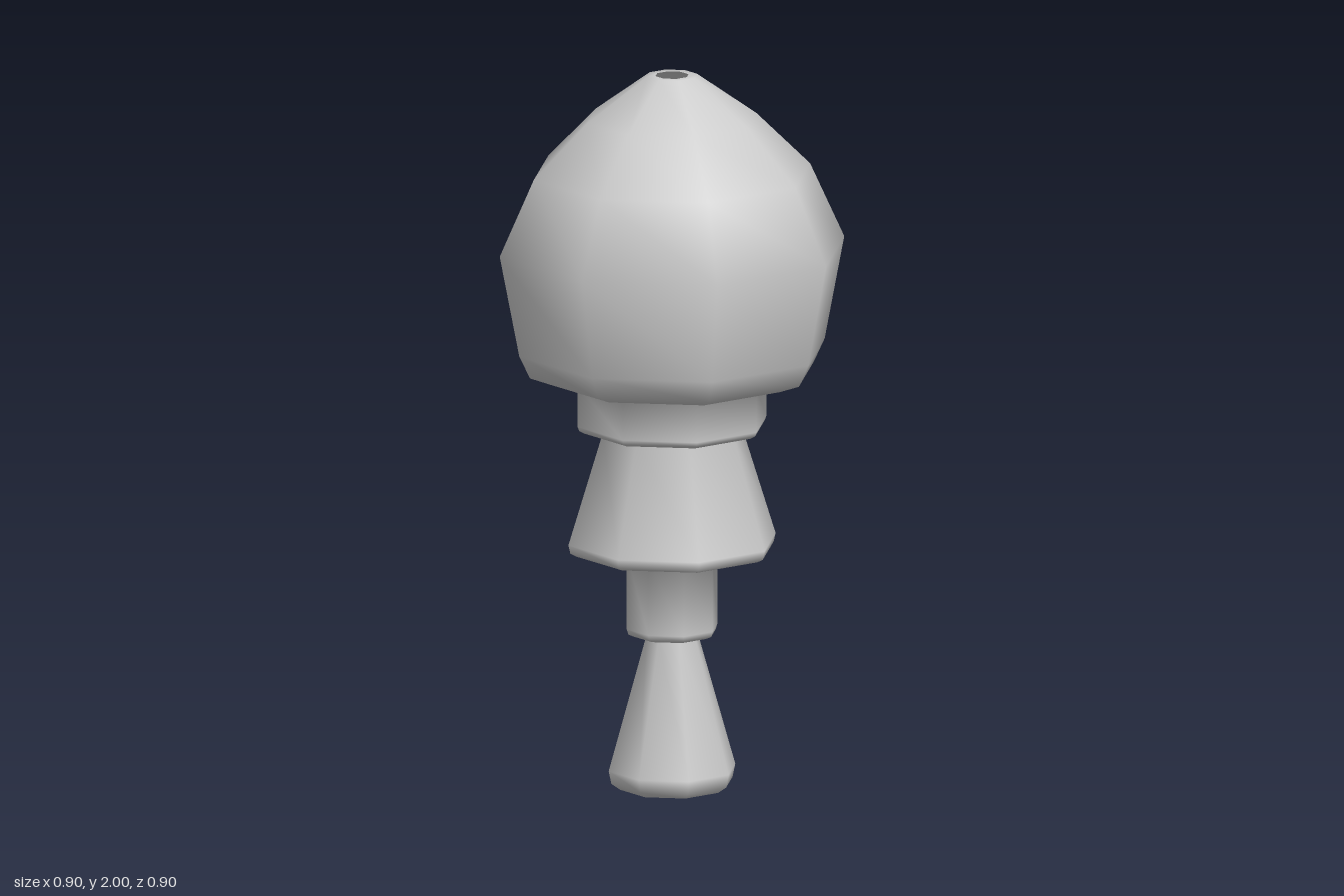
import * as THREE from 'three';

const SIDES = 8;

// Profile sections from bottom to top: [distance from axis to flat side, height]
const foot = [[0.11, 0], [0.135, 0.006], [0.158, 0.024], [0.165, 0.06], [0.067, 0.433]];
const stem = [[0.1, 0.433], [0.114, 0.44], [0.118, 0.455], [0.118, 0.667]];
const skirt = [[0.25, 0.667], [0.265, 0.676], [0.27, 0.7], [0.18, 1.01]];
const collar = [[0.228, 1.01], [0.242, 1.018], [0.246, 1.03], [0.246, 1.152]];
const bulb = [
  [0.315, 1.152], [0.37, 1.174], [0.398, 1.237], [0.449, 1.52],
  [0.36, 1.73], [0.22, 1.88], [0.065, 2], [0.043, 2],
];

export function createModel() {
  const group = new THREE.Group();
  group.name = 'turnedFinial';

  // One continuous hollow octagonal turning, open at both ends, flats facing the axes
  const toCorner = 1 / Math.cos(Math.PI / SIDES);
  const profile = [...foot, ...stem, ...skirt, ...collar, ...bulb]
    .map(([r, y]) => new THREE.Vector2(r * toCorner, y));
  const body = new THREE.Mesh(
    new THREE.LatheGeometry(profile, SIDES, Math.PI / SIDES),
    new THREE.MeshStandardMaterial({ color: 0xcccccc, side: THREE.DoubleSide }),
  );
  body.name = 'turnedBody';
  group.add(body);
  return group;
}
